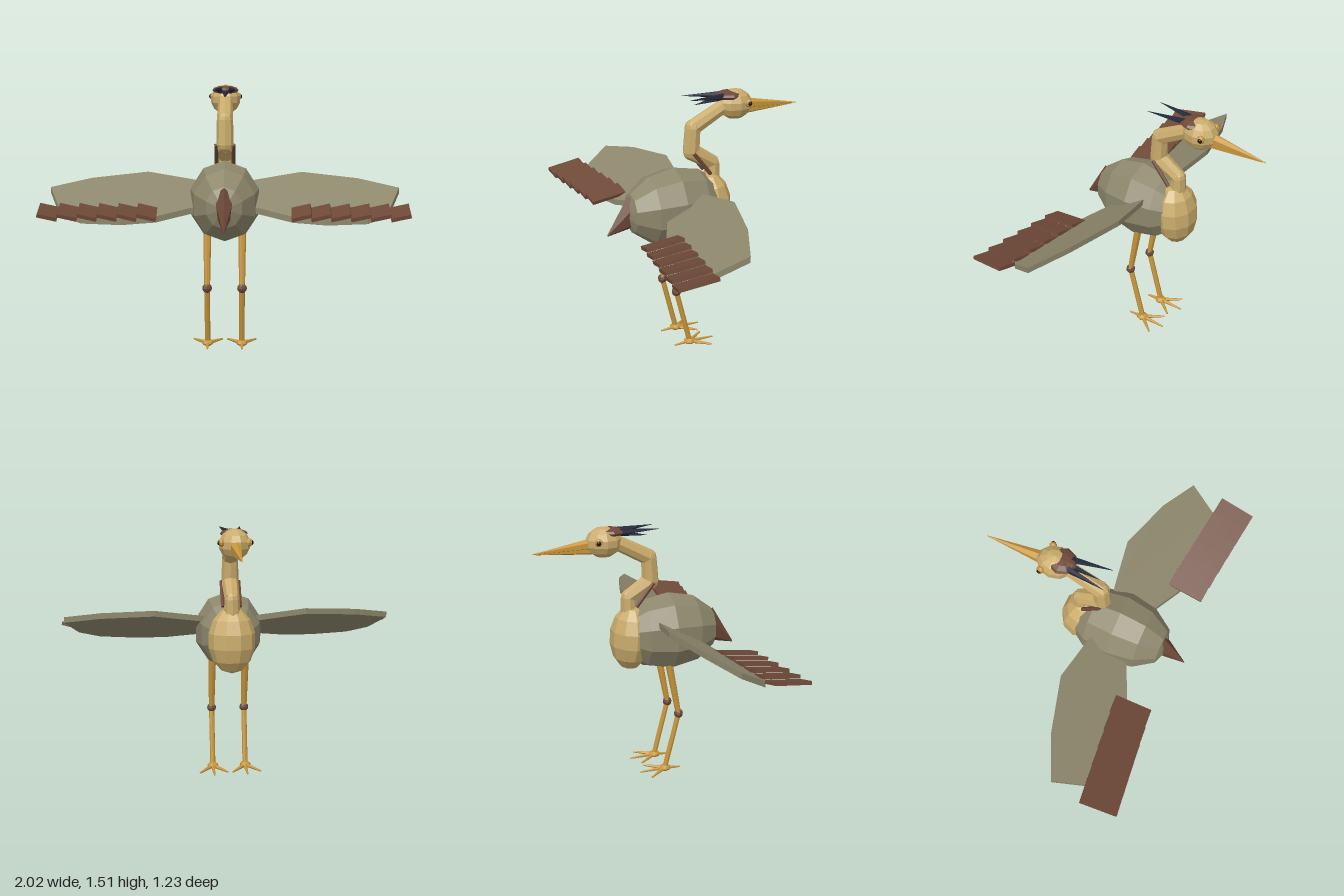
import * as THREE from 'three';

const V = (x, y, z) => new THREE.Vector3(x, y, z);
const mat = (color) => new THREE.MeshStandardMaterial({ color, flatShading: true });
const grey = mat(0x8c866b), tan = mat(0xc9ab6b), brown = mat(0x6e4938);
const gold = mat(0xc8963c), navy = mat(0x23293a), black = mat(0x141414);

export function createModel() {
  const bird = new THREE.Group();
  bird.name = 'wadingBird';

  const add = (name, geometry, material) => {
    const mesh = new THREE.Mesh(geometry, material);
    mesh.name = name;
    bird.add(mesh);
    return mesh;
  };

  // Faceted ellipsoid with its pole up
  const ball = (name, c, r, material, w = 8, h = 6) => {
    const mesh = add(name, new THREE.SphereGeometry(1, w, h), material);
    mesh.position.copy(c);
    mesh.scale.copy(r);
    return mesh;
  };

  // Tapered rod from a to b; flat squeezes it sideways (x)
  const rod = (name, a, b, ra, rb, material, sides = 8, flat = 1) => {
    const d = b.clone().sub(a);
    const mesh = add(name, new THREE.CylinderGeometry(rb, ra, d.length(), sides), material);
    mesh.position.copy(a).add(b).multiplyScalar(0.5);
    mesh.quaternion.setFromUnitVectors(V(0, 1, 0), d.normalize());
    mesh.scale.x = flat;
    return mesh;
  };

  // Body with its pole along z, and the pale breast in front
  const bodyGeo = new THREE.SphereGeometry(1, 10, 6).rotateY(Math.PI / 2).rotateX(Math.PI / 2);
  const body = add('body', bodyGeo, grey);
  body.position.set(0, 0.868, 0.18);
  body.scale.set(0.205, 0.232, 0.31);
  ball('breast', V(0, 0.85, -0.05), V(0.14, 0.195, 0.122), tan, 10, 7).rotation.x = 0.06;

  // Tail
  rod('tail', V(0, 0.89, 0.4), V(0, 0.755, 0.595), 0.11, 0.004, brown, 6, 0.6);

  // S-shaped neck
  const neck = [
    [V(0, 0.98, -0.06), 0.05], [V(0, 1.095, -0.065), 0.043], [V(0, 1.18, 0.07), 0.05],
    [V(0, 1.32, 0.06), 0.047], [V(0, 1.43, -0.15), 0.042],
  ];
  for (let i = 0; i < neck.length - 1; i++) {
    const [a, ra] = neck[i], [b, rb] = neck[i + 1];
    rod('neckSegment', a, b, ra, rb, tan);
    if (i) ball('neckJoint', a, V(ra, ra, ra), tan);
  }

  // Head, cap and beak
  ball('head', V(0, 1.428, -0.207), V(0.088, 0.088, 0.104), tan, 10, 7);
  ball('cap', V(0, 1.484, -0.165), V(0.078, 0.026, 0.08), brown);
  rod('upperBeak', V(0, 1.42, -0.28), V(0, 1.387, -0.615), 0.034, 0.002, gold, 6);
  rod('lowerBeak', V(0, 1.388, -0.28), V(0, 1.384, -0.59), 0.026, 0.002, gold, 6);
  rod('middleCrestPlume', V(0, 1.475, -0.13), V(0, 1.45, 0.047), 0.02, 0.001, navy, 5);

  // Wing outline as x, z from the root along the leading edge and back
  const outline = [
    [0.12, 0.08], [0.185, 0.065], [0.445, 0.025], [0.76, 0.115], [0.98, 0.22],
    [0.905, 0.39], [0.78, 0.45], [0.56, 0.44], [0.375, 0.4], [0.185, 0.31], [0.12, 0.29],
  ];

  for (const s of [1, -1]) {
    ball('eye', V(s * 0.076, 1.443, -0.256), V(0.02, 0.023, 0.023), gold);
    ball('pupil', V(s * 0.088, 1.443, -0.259), V(0.012, 0.014, 0.014), black);
    rod('sideCrestPlume', V(s * 0.028, 1.485, -0.13), V(s * 0.06, 1.495, 0.1), 0.02, 0.001, navy, 5);
    rod('neckStripe', V(s * 0.05, 1.18, 0.075), V(s * 0.05, 1.045, -0.03), 0.012, 0.012, brown, 5);

    // Wing slab, tilted down to the rear and slightly up to the tip
    const shape = new THREE.Shape(outline.map(([x, z]) => new THREE.Vector2(s * x, -z)));
    const wingGeo = new THREE.ExtrudeGeometry(shape, { depth: 0.034, bevelEnabled: false });
    wingGeo.rotateX(-Math.PI / 2);
    const p = wingGeo.attributes.position;
    for (let i = 0; i < p.count; i++) {
      const slope = 0.998 - 0.53 * p.getZ(i) + 0.07 * (Math.abs(p.getX(i)) - 0.45);
      p.setY(i, p.getY(i) + slope);
    }
    wingGeo.computeVertexNormals();
    add('wing', wingGeo, grey);

    // Overlapping flight feathers, each rolled outer edge up
    for (let i = 0; i < 6; i++) {
      const feather = add('flightFeather', new THREE.BoxGeometry(0.108, 0.02, 0.215), brown);
      feather.position.set(s * (0.42 + 0.105 * i), 0.843 + 0.002 * i, 0.44 + 0.012 * i);
      feather.rotation.set(0.13, -s * (0.05 + 0.01 * i), s * 0.25);
    }

    // Leg
    const x = s * 0.1;
    const knee = V(x, 0.37, 0.218), ankle = V(x, 0.025, 0.135);
    rod('upperLeg', V(x, 0.69, 0.155), knee, 0.023, 0.017, gold);
    rod('lowerLeg', knee, ankle, 0.016, 0.016, gold);
    ball('knee', knee, V(0.028, 0.028, 0.028), brown);

    // Foot with three front toes and one rear toe
    ball('foot', V(x, 0.024, 0.135), V(0.034, 0.02, 0.036), gold);
    for (const [dx, dz] of [[0, -0.155], [0.085, -0.11], [-0.085, -0.11], [0, 0.097]]) {
      rod('toe', V(x, 0.022, 0.135), V(x + dx, 0.015, 0.135 + dz), 0.013, 0.005, gold, 6);
    }
  }
  return bird;
}
